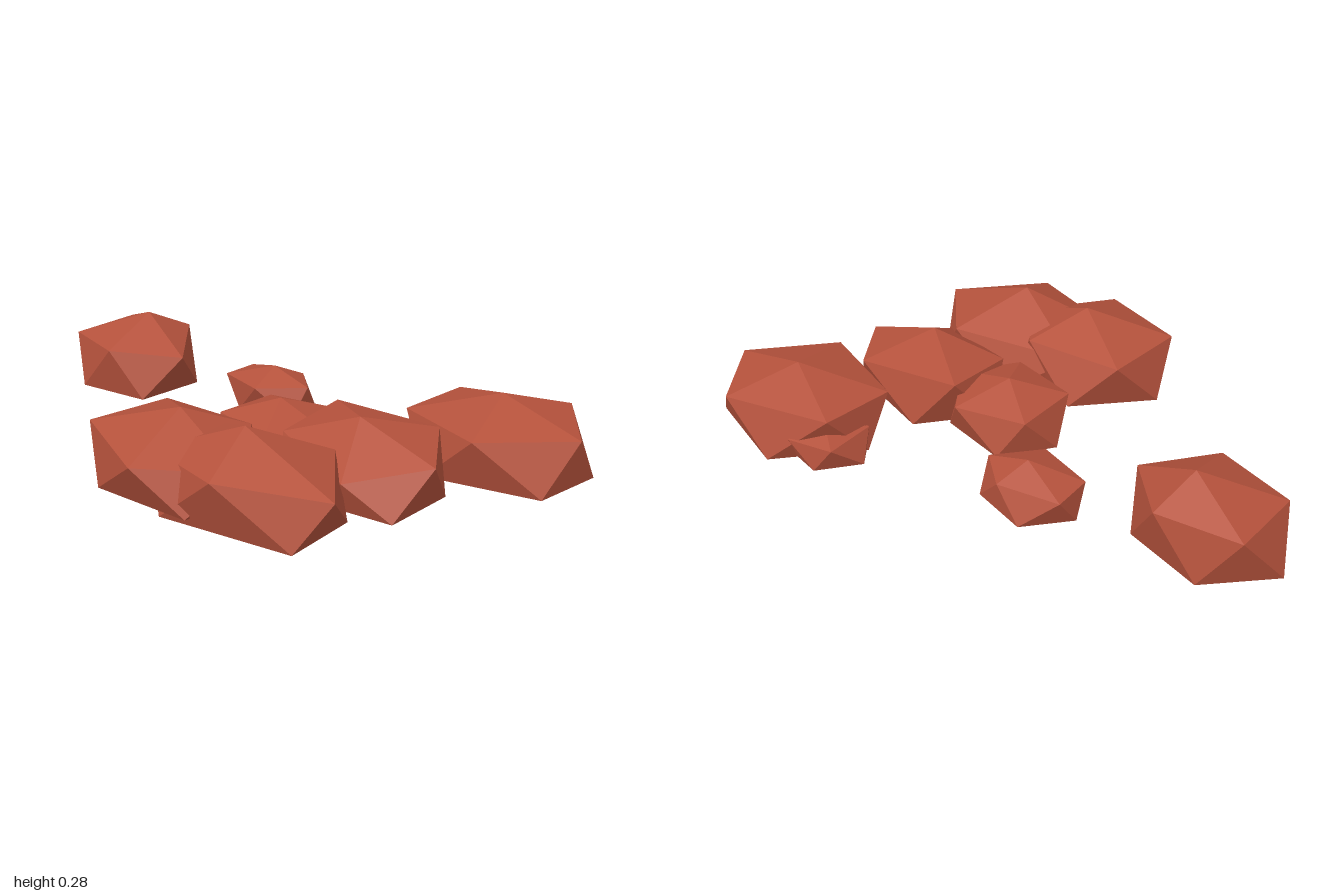
import * as THREE from 'three';

const redStone = new THREE.MeshStandardMaterial({ color: 0xb5523c });

// Faceted 20-sided rock: a crown point, five shoulder points (clockwise from above),
// and a base that mirrors the shoulders through the centre, flattened to the ground.
function rock(name, [cx, cz], crown, shoulder, baseY) {
  const mirror = ([x, , z], y) => [2 * cx - x, y, 2 * cz - z];
  const base = shoulder.map((p) => mirror(p, baseY));
  const foot = mirror(crown, 0);
  const pos = [];
  const tri = (a, b, c) => pos.push(...a, ...b, ...c);
  for (let k = 0; k < 5; k++) {
    const n = (k + 1) % 5, l = (k + 3) % 5, m = (k + 4) % 5;
    tri(crown, shoulder[n], shoulder[k]);
    tri(shoulder[k], shoulder[n], base[l]);
    tri(shoulder[n], base[m], base[l]);
    tri(foot, base[k], base[n]);
  }
  const geometry = new THREE.BufferGeometry();
  geometry.setAttribute('position', new THREE.Float32BufferAttribute(pos, 3));
  geometry.computeVertexNormals();
  const mesh = new THREE.Mesh(geometry, redStone);
  mesh.name = name;
  return mesh;
}

export function createModel() {
  const group = new THREE.Group();
  group.name = 'rockCluster';

  // Outlying rocks on the right-hand side of the model
  group.add(rock('outerRock', [-0.727, -0.118], [-0.69, 0.285, -0.15],
    [[-0.93, 0.2, -0.26], [-0.655, 0.21, -0.315], [-0.455, 0.17, -0.11], [-0.64, 0.195, 0.08], [-0.92, 0.19, 0.01]], 0.025));
  group.add(rock('smallRock', [-0.19, -0.3], [-0.175, 0.167, -0.3],
    [[-0.35, 0.115, -0.36], [-0.14, 0.12, -0.41], [-0.02, 0.12, -0.31], [-0.14, 0.12, -0.17], [-0.34, 0.115, -0.22]], 0.015));

  // Back pair
  group.add(rock('backRock', [0.7, -0.44], [0.695, 0.255, -0.455],
    [[0.44, 0.18, -0.57], [0.8, 0.19, -0.685], [0.995, 0.18, -0.445], [0.775, 0.18, -0.195], [0.43, 0.17, -0.305]], 0.015));
  group.add(rock('backPebble', [0.51, -0.51], [0.515, 0.135, -0.52],
    [[0.4, 0.1, -0.6], [0.56, 0.1, -0.64], [0.66, 0.1, -0.52], [0.56, 0.1, -0.39], [0.41, 0.1, -0.42]], 0.015));

  // Middle pair
  group.add(rock('middleRock', [0.147, -0.018], [0.14, 0.2, -0.02],
    [[-0.02, 0.14, -0.13], [0.225, 0.14, -0.2], [0.36, 0.14, -0.015], [0.24, 0.14, 0.155], [-0.015, 0.14, 0.105]], 0.01));
  group.add(rock('middleLeftRock', [0.508, -0.012], [0.51, 0.245, 0.01],
    [[0.26, 0.19, -0.16], [0.625, 0.18, -0.23], [0.79, 0.155, -0.01], [0.615, 0.115, 0.205], [0.28, 0.16, 0.11]], 0.01));

  // Front pair
  group.add(rock('frontRock', [0.125, 0.417], [0.145, 0.28, 0.41],
    [[-0.11, 0.2, 0.25], [0.245, 0.2, 0.21], [0.43, 0.16, 0.44], [0.215, 0.178, 0.67], [-0.125, 0.2, 0.55]], 0.035));
  group.add(rock('frontLeftRock', [0.385, 0.36], [0.4, 0.285, 0.383],
    [[0.08, 0.17, 0.24], [0.525, 0.178, 0.135], [0.755, 0.155, 0.38], [0.475, 0.19, 0.592], [0.12, 0.17, 0.51]], 0.008));

  return group;
}
